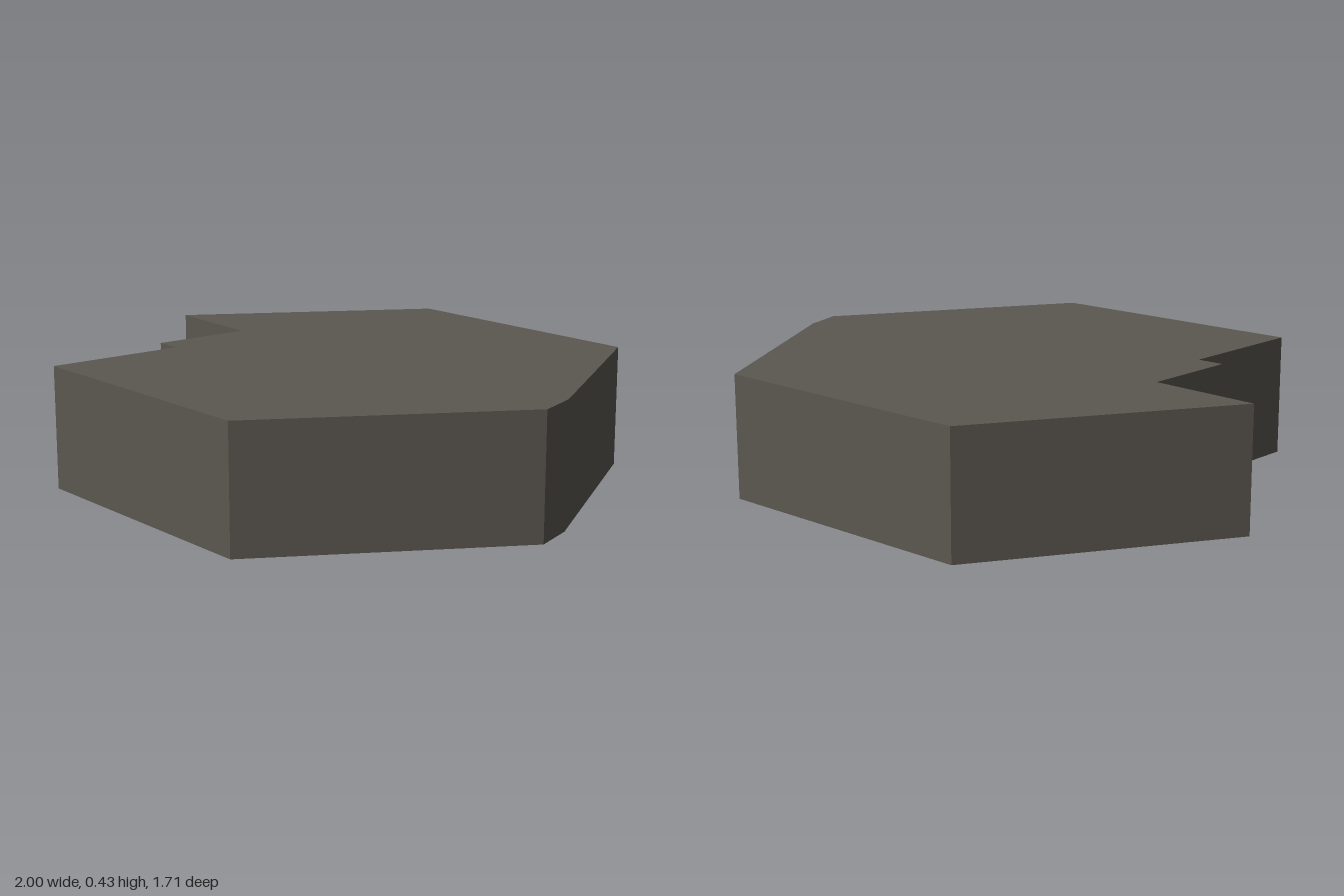
import * as THREE from 'three';

const HEIGHT = 0.43;

// Tile outline as (x, z), running from the back left round the front to the notch
const OUTLINE = [
  [-0.5, -0.857], [0.5, -0.857], [0.95, -0.123], [1, 0.023], [0.5, 0.855],
  [-0.5, 0.855], [-0.5, 0.355], [-0.6, 0.355], [-0.6, -0.005], [-1, -0.03],
];

// Flat cap in the shape of the outline
function capGeometry() {
  const shape = new THREE.Shape(OUTLINE.map(([x, z]) => new THREE.Vector2(x, -z)));
  return new THREE.ShapeGeometry(shape).rotateX(-Math.PI / 2).translate(0, HEIGHT, 0);
}

// One upright quad per outline edge, facing outwards
function wallGeometry() {
  const positions = [];
  OUTLINE.forEach(([ax, az], i) => {
    const [bx, bz] = OUTLINE[(i + 1) % OUTLINE.length];
    positions.push(ax, 0, az, ax, HEIGHT, az, bx, HEIGHT, bz);
    positions.push(ax, 0, az, bx, HEIGHT, bz, bx, 0, bz);
  });
  const geometry = new THREE.BufferGeometry();
  geometry.setAttribute('position', new THREE.Float32BufferAttribute(positions, 3));
  geometry.computeVertexNormals();
  return geometry;
}

export function createModel() {
  const model = new THREE.Group();
  model.name = 'hexagonalTile';

  const stone = new THREE.MeshStandardMaterial({ color: 0x5b5750, side: THREE.DoubleSide });
  stone.name = 'darkStone';

  // The tile is a hollow shell, open underneath
  const top = new THREE.Mesh(capGeometry(), stone);
  top.name = 'topSurface';
  const walls = new THREE.Mesh(wallGeometry(), stone);
  walls.name = 'sideWalls';

  model.add(top, walls);
  return model;
}
